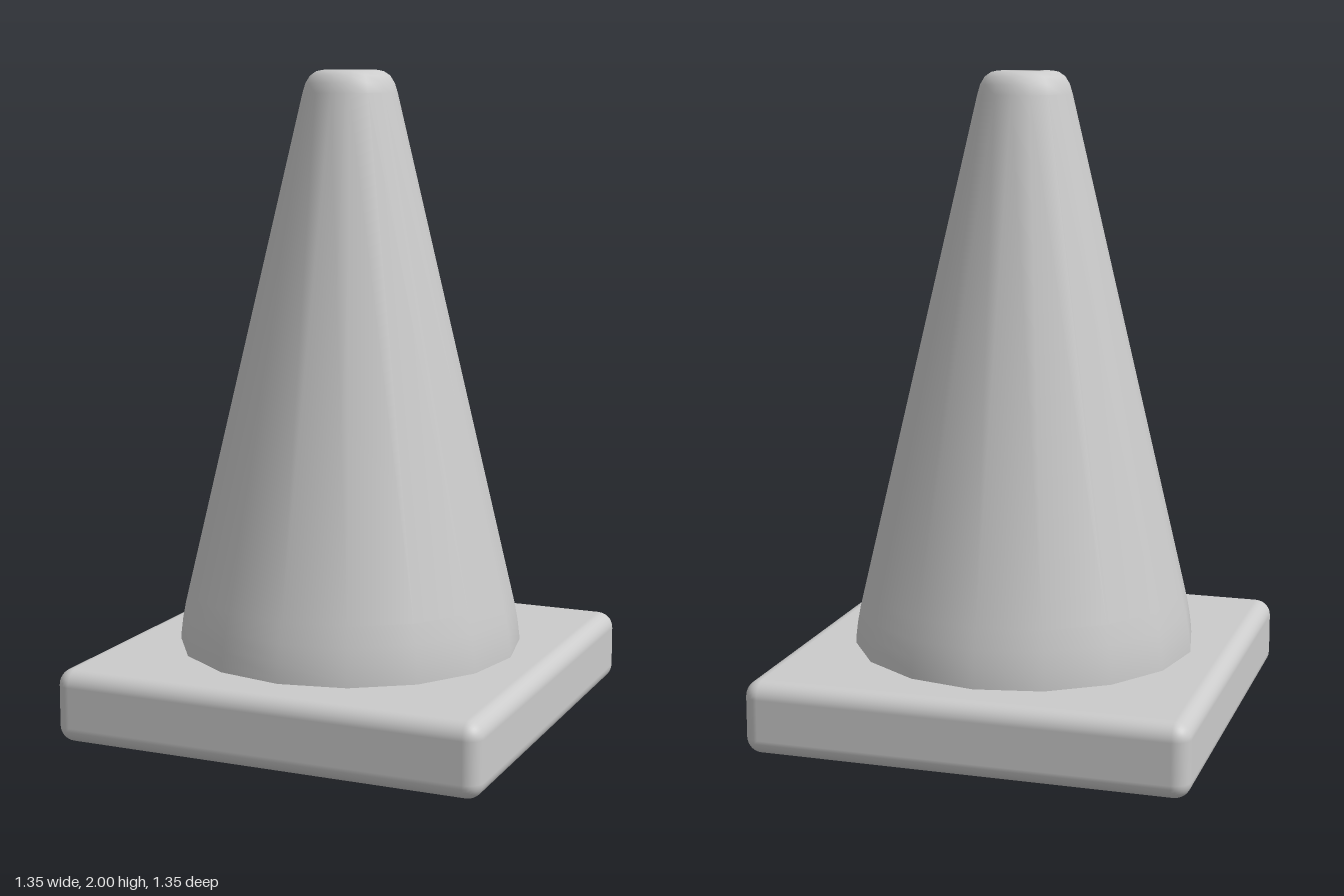
import * as THREE from 'three';
import { RoundedBoxGeometry } from 'three/addons/geometries/RoundedBoxGeometry.js';

const SIDES = 16;

export function createModel() {
  const group = new THREE.Group();
  const material = new THREE.MeshStandardMaterial({ color: 0xcccccc });

  const add = (name, geometry) => {
    const mesh = new THREE.Mesh(geometry, material);
    mesh.name = name;
    group.add(mesh);
    return mesh;
  };
  const lathe = (points) =>
    new THREE.LatheGeometry(points.map(([r, y]) => new THREE.Vector2(r, y)), SIDES);

  // Square foot with softened edges
  add('base', new RoundedBoxGeometry(1.35, 0.225, 1.35, 4, 0.05)).position.y = 0.1125;

  // Tapered body: slight flare at the foot, rounded shoulder at the tip
  add('coneBody', lathe([
    [0.535, 0.2], [0.534, 0.24], [0.528, 0.29], [0.519, 0.34], [0.505, 0.4],
    [0.145, 1.93], [0.136, 1.96], [0.122, 1.983], [0.103, 1.996], [0.085, 2], [0.07, 2],
  ]));

  // Stepped recess in the tip, each wall and ledge with its own crisp edge
  const recess = [[0.07, 2], [0.066, 1.97], [0.048, 1.965], [0.037, 1.89], [0, 1.89]];
  for (let i = 0; i < recess.length - 1; i++) {
    add('tipRecess' + (i + 1), lathe([recess[i], recess[i + 1]]));
  }

  return group;
}
